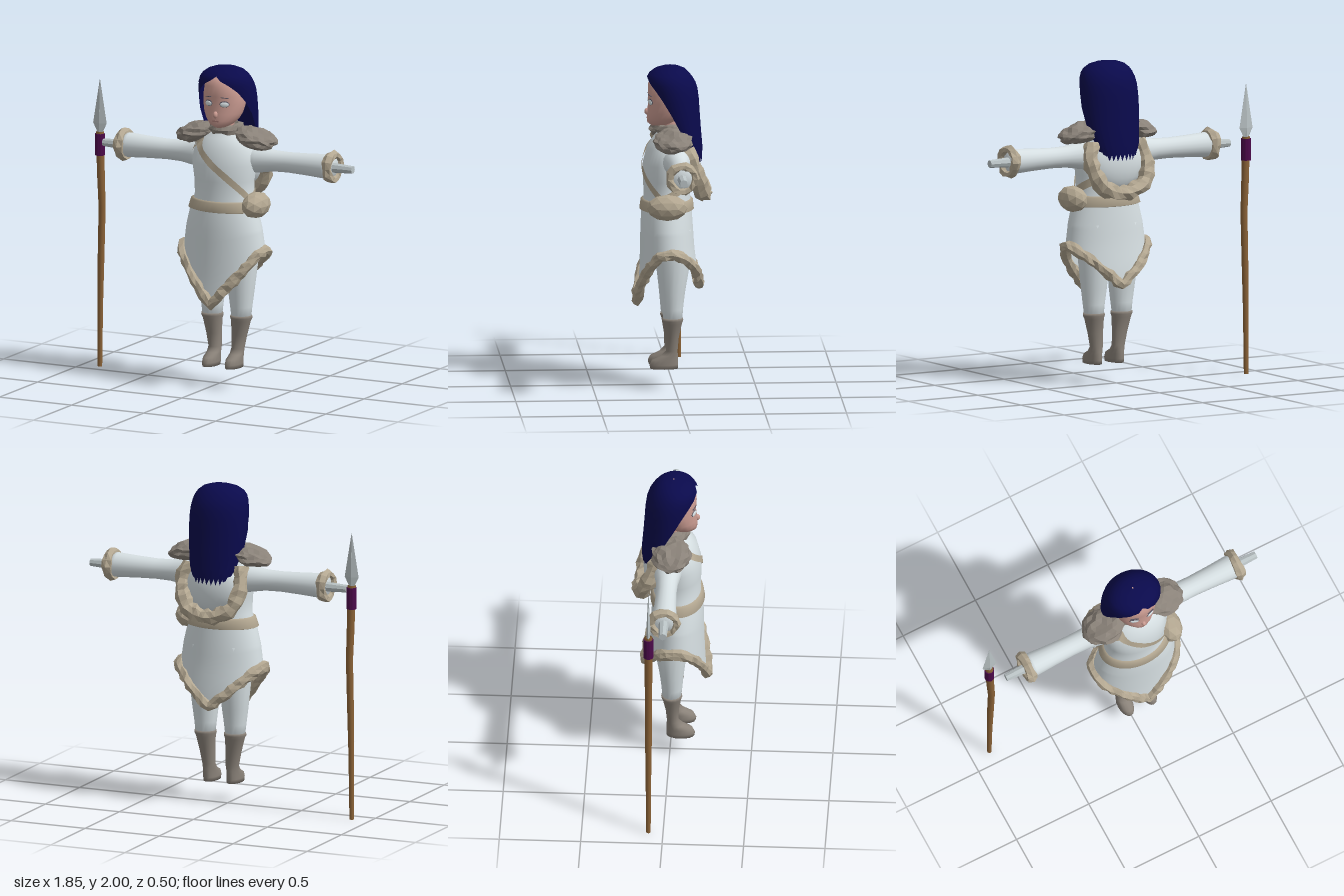
import * as THREE from 'three';

const CX = 0.055; // body axis
const mat = (name, color, both) => {
  const m = new THREE.MeshStandardMaterial({ color });
  m.name = name;
  if (both) m.side = THREE.DoubleSide;
  return m;
};
const M = {
  cloth: mat('white cloth', 0xd6dfe2, true),
  tan: mat('tan fur and leather', 0xb3a791, true),
  fur: mat('grey brown fur', 0x8a8279),
  hair: mat('navy hair', 0x0a0a4c, true),
  skin: mat('skin', 0xcb9c92),
  lip: mat('lip', 0xad7f78),
  lash: mat('lash', 0x5b5560),
  wood: mat('wood', 0x8a6237),
  wrap: mat('purple wrap', 0x4c0a4a),
  metal: mat('pale metal', 0xb9c2c4),
};

function mesh(parent, name, geo, material, x = 0, y = 0, z = 0) {
  const m = new THREE.Mesh(geo, material);
  m.name = name;
  m.position.set(x, y, z);
  parent.add(m);
  return m;
}
function flat(geo) {
  const g = geo.index ? geo.toNonIndexed() : geo;
  g.computeVertexNormals();
  return g;
}
// Surface through rows of points, listed bottom to top and counterclockwise from above
function loft(rows, closed = true, caps = false) {
  const n = rows[0].length, pos = [], idx = [];
  rows.forEach(r => r.forEach(p => pos.push(...p)));
  for (let i = 0; i < rows.length - 1; i++)
    for (let j = 0; j < (closed ? n : n - 1); j++) {
      const k = (j + 1) % n, a = i * n + j, b = i * n + k;
      idx.push(a, b, b + n, a, b + n, a + n);
    }
  if (caps) [0, rows.length - 1].forEach(i => {
    const c = pos.length / 3;
    pos.push(...[0, 1, 2].map(q => rows[i].reduce((s, p) => s + p[q], 0) / n));
    for (let j = 0; j < n; j++) {
      const a = i * n + j, b = i * n + (j + 1) % n;
      if (i) idx.push(c, a, b); else idx.push(c, b, a);
    }
  });
  const g = new THREE.BufferGeometry();
  g.setAttribute('position', new THREE.Float32BufferAttribute(pos, 3));
  g.setIndex(idx);
  g.computeVertexNormals();
  return g;
}
// Oval ring with separate front and back depth, optionally open at the front
function ring(cx, y, rx, zf, zb, n = 16, gap = 0, closed = true) {
  const cz = (zf + zb) / 2, rz = (zf - zb) / 2;
  return Array.from({ length: n }, (_, j) => {
    const a = gap + (2 * Math.PI - 2 * gap) * j / (closed ? n : n - 1);
    return [cx + rx * Math.sin(a), y, cz + rz * Math.cos(a)];
  });
}
// Repeatable lumpiness for fur
const lump = (x, y, z) => Math.sin(Math.round(x * 1000) * 1.7 + Math.round(y * 1000) * 2.3 + Math.round(z * 1000) * 3.1);
function ruffle(geo, amount) {
  const p = geo.attributes.position, nn = geo.attributes.normal;
  for (let i = 0; i < p.count; i++) {
    const d = amount * lump(p.getX(i), p.getY(i), p.getZ(i));
    p.setXYZ(i, p.getX(i) + nn.getX(i) * d, p.getY(i) + nn.getY(i) * d, p.getZ(i) + nn.getZ(i) * d);
  }
  return flat(geo);
}
const furTube = (pts, closed, r, segs) => ruffle(new THREE.TubeGeometry(
  new THREE.CatmullRomCurve3(pts.map(p => new THREE.Vector3(...p)), closed), segs, r, 7, closed), r * 0.22);

// Torso and tunic profile: height, half width, front z, back z
const BODY = [
  [0.5, 0.295, 0.225, -0.15], [0.7, 0.29, 0.212, -0.145], [0.88, 0.267, 0.207, -0.125],
  [1.0, 0.25, 0.205, -0.117], [1.1, 0.225, 0.2, -0.11], [1.2, 0.192, 0.185, -0.1],
  [1.3, 0.195, 0.19, -0.1], [1.4, 0.21, 0.19, -0.1], [1.5, 0.2, 0.165, -0.1],
  [1.56, 0.14, 0.125, -0.09], [1.62, 0.07, 0.07, -0.06],
];
function bodyPoint(a, y, out = 0) {
  let i = 0;
  while (i < BODY.length - 2 && y > BODY[i + 1][0]) i++;
  const A = BODY[i], B = BODY[i + 1];
  const t = THREE.MathUtils.clamp((y - A[0]) / (B[0] - A[0]), 0, 1);
  const [rx, zf, zb] = [1, 2, 3].map(k => A[k] + (B[k] - A[k]) * t);
  return [CX + (rx + out) * Math.sin(a), y, (zf + zb) / 2 + ((zf - zb) / 2 + out) * Math.cos(a)];
}
const hemY = a => {
  const s = Math.abs(Math.sin(a));
  return Math.cos(a) > 0 ? 0.535 + 0.335 * s : 0.63 + 0.24 * s;
};

function buildClothes(g) {
  const N = 40, angles = Array.from({ length: N }, (_, j) => j / N * Math.PI * 2), rows = [];
  for (let k = 0; k <= 6; k++) rows.push(angles.map(a => bodyPoint(a, THREE.MathUtils.lerp(hemY(a), 1.0, k / 6))));
  BODY.slice(4).forEach(b => rows.push(angles.map(a => bodyPoint(a, b[0]))));
  mesh(g, 'tunic', loft(rows), M.cloth);
  mesh(g, 'hemFur', furTube(angles.map(a => bodyPoint(a, hemY(a), 0.005)), true, 0.032, 52), M.tan);
  // Belt, pouch and diagonal strap
  mesh(g, 'belt', loft([[1.11, 0], [1.115, 0.014], [1.17, 0.014], [1.178, 0]].map(([y, o]) => angles.map(a => bodyPoint(a, y, o)))), M.tan);
  const pouch = mesh(g, 'pouch', flat(new THREE.IcosahedronGeometry(1, 1)), M.tan, 0.28, 1.155, 0.055);
  pouch.scale.set(0.08, 0.082, 0.125);
  const strap = (a0, y0, a1, y1) => loft([-0.026, 0.026].map(d => Array.from({ length: 17 }, (_, i) =>
    bodyPoint(THREE.MathUtils.lerp(a0, a1, i / 16), THREE.MathUtils.lerp(y0, y1, i / 16) + d, 0.009))), false);
  mesh(g, 'frontStrap', strap(-0.81, 1.53, 1.3, 1.19), M.tan);
  mesh(g, 'backStrap', strap(1.3, 1.19, 2 * Math.PI - 0.81, 1.53), M.tan);
  // Hood lying on the back
  const hood = mesh(g, 'hood', new THREE.SphereGeometry(1, 20, 12), M.cloth, CX, 1.37, -0.09);
  hood.scale.set(0.185, 0.16, 0.075);
  const U = [[0.17, 1.51, -0.07], [0.195, 1.38, -0.12], [0.14, 1.25, -0.165]];
  mesh(g, 'hoodFur', furTube([...U.map(([x, y, z]) => [CX - x, y, z]), [CX, 1.2, -0.185],
    ...U.slice().reverse().map(([x, y, z]) => [CX + x, y, z])], false, 0.048, 24), M.tan);
  // Shoulder and neck fur
  for (const s of [-1, 1]) {
    const geo = new THREE.IcosahedronGeometry(1, 3);
    geo.scale(0.138, 0.058, 0.12);
    geo.rotateZ(-s * 0.25);
    mesh(g, 'shoulderFur', ruffle(geo, 0.009), M.fur, CX + s * 0.2, 1.568, 0.015);
  }
  const neck = new THREE.TorusGeometry(0.08, 0.032, 7, 18);
  neck.rotateX(Math.PI / 2);
  mesh(g, 'neckFur', ruffle(neck, 0.006), M.fur, CX, 1.61, 0.01);
}

function buildArm(g, side) {
  const arm = new THREE.Group();
  arm.name = side > 0 ? 'leftArm' : 'rightArm';
  arm.position.set(CX, 1.43, -0.006);
  if (side < 0) arm.rotation.y = Math.PI;
  g.add(arm);
  const profile = [[0.08, 0.1], [0.09, 0.17], [0.083, 0.22], [0.066, 0.32], [0.063, 0.42], [0.068, 0.55], [0.076, 0.68], [0.076, 0.73], [0, 0.731]];
  const sleeve = new THREE.LatheGeometry(profile.map(p => new THREE.Vector2(...p)), 18);
  sleeve.rotateZ(-Math.PI / 2);
  mesh(arm, 'sleeve', sleeve, M.cloth);
  const cuff = new THREE.TorusGeometry(0.078, 0.025, 6, 14);
  cuff.scale(1, 1, 1.3);
  cuff.rotateY(Math.PI / 2);
  mesh(arm, 'cuffFur', ruffle(cuff, 0.006), M.tan, 0.722);
  const hand = new THREE.CylinderGeometry(0.024, 0.032, 0.15, 8);
  hand.rotateZ(-Math.PI / 2);
  mesh(arm, 'hand', flat(hand), M.metal, 0.79, -0.003);
}

function buildLeg(g, s) {
  // height, offset from axis, half width, front z, back z
  const rows = list => list.map(([y, o, rx, zf, zb]) => ring(CX + s * o, y, rx, zf, zb));
  mesh(g, 'leg', loft(rows([[0.42, 0.1, 0.06, 0.07, -0.045], [0.5, 0.1, 0.07, 0.078, -0.05], [0.6, 0.1, 0.083, 0.087, -0.062],
    [0.8, 0.105, 0.1, 0.11, -0.095], [1.0, 0.1, 0.1, 0.12, -0.1]]), true, true), M.cloth);
  mesh(g, 'boot', loft(rows([[0.125, 0.079, 0.045, 0.15, -0.02], [0.15, 0.079, 0.046, 0.155, -0.022], [0.18, 0.079, 0.045, 0.14, -0.022],
    [0.205, 0.079, 0.042, 0.085, -0.02], [0.235, 0.079, 0.042, 0.053, -0.018], [0.32, 0.088, 0.05, 0.056, -0.025],
    [0.41, 0.098, 0.062, 0.07, -0.044], [0.43, 0.1, 0.07, 0.078, -0.052], [0.445, 0.1, 0.068, 0.076, -0.05]]), true, true), M.fur);
}

function buildHead(g) {
  mesh(g, 'neck', new THREE.CylinderGeometry(0.05, 0.055, 0.15, 14), M.skin, CX, 1.6, 0.02);
  mesh(g, 'face', loft([[1.632, 0.035, 0.14, 0.04], [1.65, 0.07, 0.163, 0], [1.68, 0.1, 0.166, -0.04], [1.72, 0.122, 0.164, -0.06],
    [1.78, 0.136, 0.157, -0.08], [1.83, 0.136, 0.16, -0.09], [1.89, 0.125, 0.16, -0.09], [1.94, 0.09, 0.13, -0.06]]
    .map(r => ring(CX, ...r, 24)), true, true), M.skin);
  const nose = mesh(g, 'nose', new THREE.SphereGeometry(1, 10, 8), M.skin, CX, 1.717, 0.162);
  nose.scale.set(0.015, 0.022, 0.02);
  mesh(g, 'mouth', new THREE.BoxGeometry(0.045, 0.008, 0.008), M.lip, CX, 1.677, 0.162);
  for (const s of [-1, 1]) {
    const eye = new THREE.Group();
    eye.name = 'eye';
    eye.position.set(CX + s * 0.054, 1.785, 0.146);
    eye.rotation.y = s * 0.35;
    g.add(eye);
    mesh(eye, 'eyeRim', new THREE.SphereGeometry(1, 14, 8), M.lash).scale.set(0.031, 0.021, 0.006);
    mesh(eye, 'eyeWhite', new THREE.SphereGeometry(1, 14, 8), M.cloth, 0, -0.002, 0.003).scale.set(0.028, 0.016, 0.007);
    mesh(eye, 'brow', new THREE.BoxGeometry(0.05, 0.004, 0.006), M.lash, 0, 0.04, 0.004).rotation.z = -s * 0.1;
  }
  // Long hair parted over the face: height, half width, front z, back z, half gap
  const rows = [[1.41, 0.12, -0.05, -0.172, 1.8], [1.5, 0.155, 0, -0.175, 1.7], [1.62, 0.18, 0.09, -0.165, 1.5], [1.72, 0.188, 0.125, -0.158, 1.27],
    [1.8, 0.188, 0.145, -0.153, 1.02], [1.86, 0.184, 0.16, -0.145, 0.78], [1.9, 0.176, 0.168, -0.132, 0.52], [1.93, 0.165, 0.167, -0.115, 0.2],
    [1.955, 0.148, 0.152, -0.095, 0], [1.98, 0.115, 0.12, -0.07, 0], [1.995, 0.07, 0.075, -0.035, 0], [2, 0.005, 0.025, 0.015, 0]]
    .map(([y, rx, zf, zb, gap]) => ring(CX, y, rx, zf, zb, 33, gap, false));
  rows[0].forEach((p, j) => { p[1] += 0.02 * (j % 3) - 0.01; });
  mesh(g, 'hair', loft(rows, false), M.hair);
}

function buildSpear(g) {
  const spear = new THREE.Group();
  spear.name = 'spear';
  g.add(spear);
  const Z = -0.09;
  mesh(spear, 'shaft', loft([[0, -0.88, 0.014], [0.4, -0.877, 0.017], [0.7, -0.872, 0.021], [1.0, -0.865, 0.022], [1.2, -0.873, 0.024], [1.47, -0.88, 0.026]]
    .map(([y, x, r]) => ring(x, y, r, Z + r, Z - r, 10)), true, true), M.wood);
  mesh(spear, 'gripWrap', flat(new THREE.CylinderGeometry(0.031, 0.031, 0.135, 10)), M.wrap, -0.88, 1.392, Z);
  mesh(spear, 'blade', flat(loft([[1.46, 0.014, 0.01], [1.525, 0.047, 0.013], [1.8, 0.001, 0.001]]
    .map(([y, rx, rz]) => ring(-0.88, y, rx, Z + rz, Z - rz, 4)), true, true)), M.metal);
}

export function createModel() {
  const g = new THREE.Group();
  g.name = 'spearCarrier';
  buildClothes(g);
  buildHead(g);
  for (const s of [-1, 1]) {
    buildArm(g, s);
    buildLeg(g, s);
  }
  buildSpear(g);
  return g;
}
